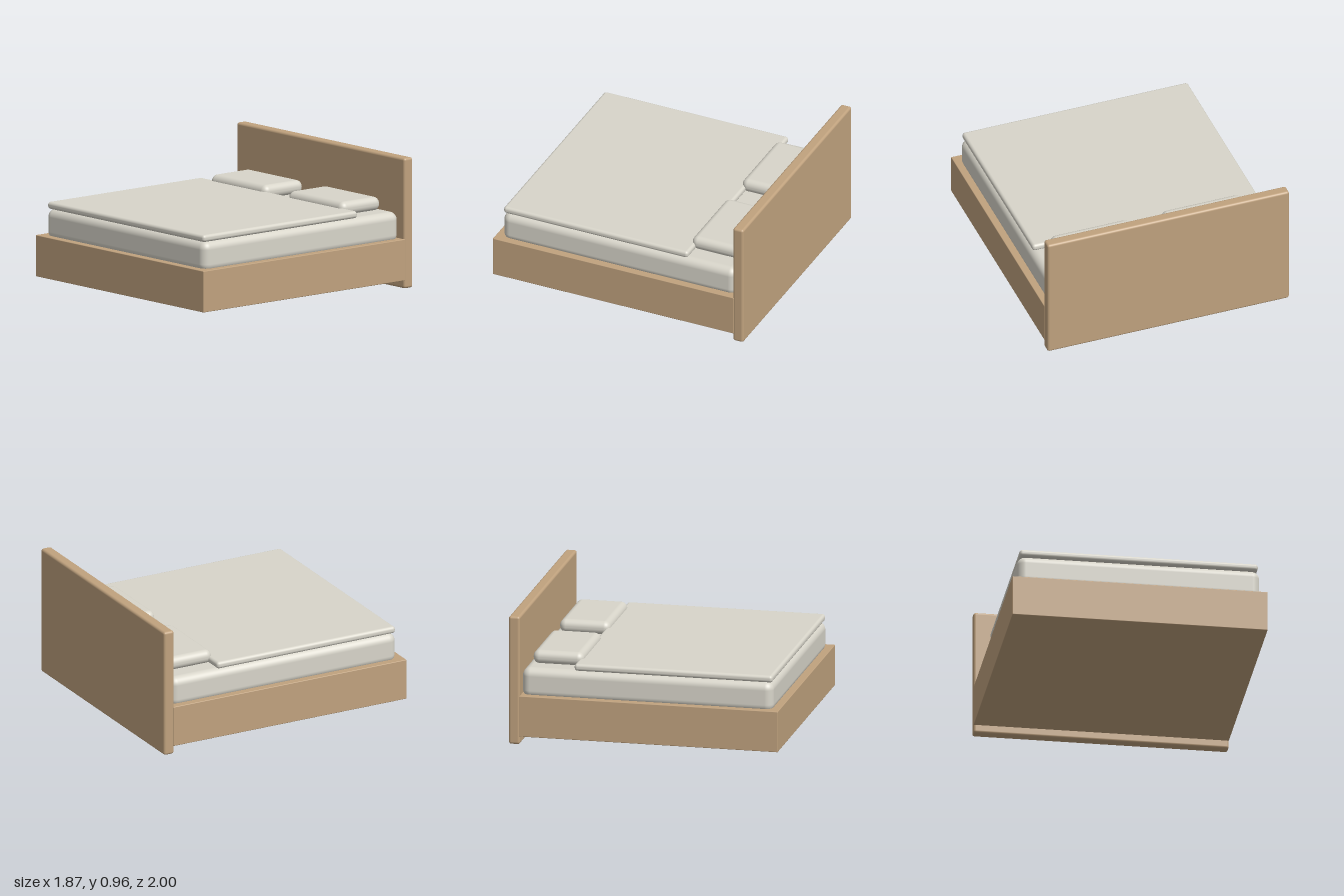
import * as THREE from 'three';
import { RoundedBoxGeometry } from 'three/addons/geometries/RoundedBoxGeometry.js';

export function createModel() {
  const bed = new THREE.Group();
  bed.name = 'bed';

  const wood = new THREE.MeshStandardMaterial({ color: 0xc0a27e });
  wood.name = 'wood';
  const linen = new THREE.MeshStandardMaterial({ color: 0xd8d5ca });
  linen.name = 'linen';

  // Rounded block given by its lower and upper corners
  function block(name, material, [x0, y0, z0], [x1, y1, z1], radius, segments = 4) {
    const geometry = new RoundedBoxGeometry(x1 - x0, y1 - y0, z1 - z0, segments, radius);
    const mesh = new THREE.Mesh(geometry, material);
    mesh.position.set((x0 + x1) / 2, (y0 + y1) / 2, (z0 + z1) / 2);
    mesh.name = name;
    bed.add(mesh);
  }

  // Wooden base and headboard
  block('frame', wood, [-0.935, 0.06, -0.925], [0.935, 0.365, 1], 0.005, 2);
  block('headboard', wood, [-0.935, 0, -1], [0.935, 0.96, -0.917], 0.018);

  // Mattress sunk slightly into the base, with a thin cover on top
  block('mattress', linen, [-0.888, 0.335, -0.915], [0.888, 0.562, 0.95], 0.06, 6);
  block('blanket', linen, [-0.873, 0.56, -0.527], [0.873, 0.612, 0.945], 0.022);

  // Pair of pillows
  for (const [name, x] of [['leftPillow', 0.43], ['rightPillow', -0.43]]) {
    block(name, linen, [x - 0.31, 0.555, -0.867], [x + 0.31, 0.657, -0.49], 0.048, 6);
  }

  return bed;
}
